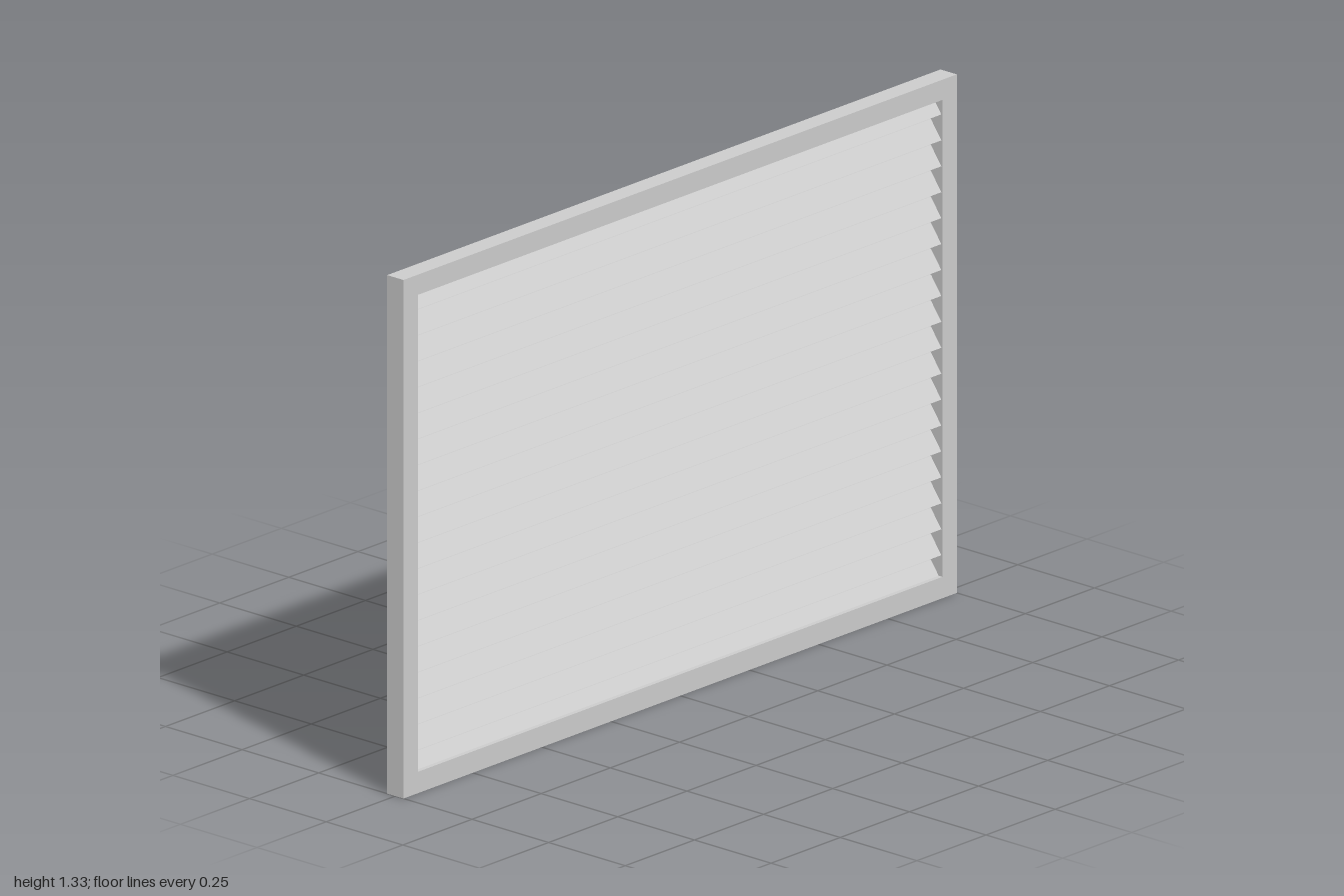
import * as THREE from 'three';

const W = 2, H = 1.333, D = 0.053, RIM = 0.052;
const SLATS = 19;

export function createModel() {
  const group = new THREE.Group();
  const material = new THREE.MeshStandardMaterial({ color: 0xcccccc, flatShading: true });

  // Rectangular frame with an open centre
  const outline = new THREE.Shape([
    new THREE.Vector2(-W / 2, 0), new THREE.Vector2(W / 2, 0),
    new THREE.Vector2(W / 2, H), new THREE.Vector2(-W / 2, H),
  ]);
  const x = W / 2 - RIM;
  outline.holes.push(new THREE.Path([
    new THREE.Vector2(-x, RIM + 0.003), new THREE.Vector2(-x, H - RIM),
    new THREE.Vector2(x, H - RIM), new THREE.Vector2(x, RIM + 0.003),
  ]));
  const frameGeometry = new THREE.ExtrudeGeometry(outline, { depth: D, bevelEnabled: false });
  frameGeometry.translate(0, 0, -D / 2);
  const frame = new THREE.Mesh(frameGeometry, material);
  frame.name = 'frame';
  group.add(frame);

  // Slanted slat section: low edge at the front, high edge at the back
  const h = 0.047, half = 0.023, w = 0.012, length = 2 * x + 0.004;
  const section = new THREE.Shape([
    new THREE.Vector2(-half, -h / 2), new THREE.Vector2(-half + w, -h / 2),
    new THREE.Vector2(half, h / 2), new THREE.Vector2(half - w, h / 2),
  ]);
  const slatGeometry = new THREE.ExtrudeGeometry(section, { depth: length, bevelEnabled: false });
  slatGeometry.translate(0, 0, -length / 2);
  slatGeometry.rotateY(Math.PI / 2);

  // Evenly spaced slats
  const slats = new THREE.Group();
  slats.name = 'slats';
  for (let i = 1; i <= SLATS; i++) {
    const slat = new THREE.Mesh(slatGeometry, material);
    slat.name = `slat${i}`;
    slat.position.y = (i * H) / (SLATS + 1);
    slats.add(slat);
  }
  group.add(slats);
  return group;
}
